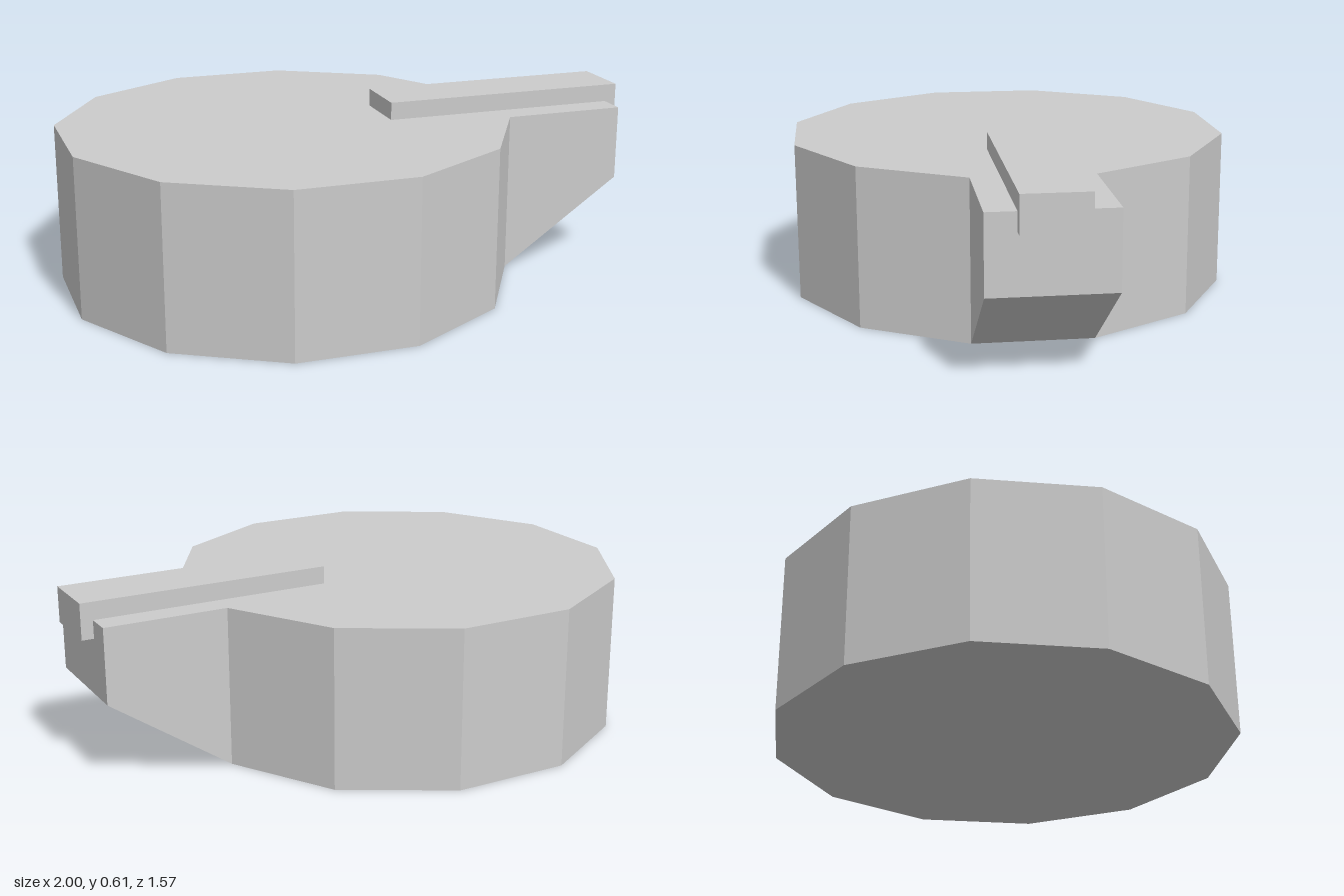
import * as THREE from 'three';

const material = new THREE.MeshStandardMaterial({ color: 0xcccccc, flatShading: true });

// Extrudes a side profile (outward distance, height) between two sideways offsets
function profilePart(name, points, from, to) {
  const shape = new THREE.Shape(points.map(([u, y]) => new THREE.Vector2(u, y)));
  const geometry = new THREE.ExtrudeGeometry(shape, { depth: to - from, bevelEnabled: false });
  geometry.translate(0, 0, from);
  const mesh = new THREE.Mesh(geometry, material);
  mesh.name = name;
  return mesh;
}

export function createModel() {
  const model = new THREE.Group();
  model.name = 'drumWithSpout';

  const radius = 0.785, height = 0.552;
  const apothem = radius * Math.cos(Math.PI / 12);
  const halfSide = radius * Math.sin(Math.PI / 12);

  // Twelve-sided drum
  const drum = new THREE.Mesh(new THREE.CylinderGeometry(radius, radius, height, 12), material);
  drum.name = 'drum';
  drum.position.set(-0.215, height / 2, 0);
  model.add(drum);

  // Arm assembly, pointing out through the middle of one drum side
  const arm = new THREE.Group();
  arm.name = 'arm';
  arm.position.x = -0.215;
  arm.rotation.y = -Math.PI / 12;
  model.add(arm);

  // Spout with a sloping underside
  const end = 1.183;
  arm.add(profilePart('spout', [
    [apothem, 0], [end, 0.293], [end, height], [apothem, height],
  ], -halfSide, halfSide));

  // Flat bar on top, with a lip hooked over the end of the spout
  arm.add(profilePart('hookedBar', [
    [0.353, height], [end, height], [end, 0.49],
    [1.224, 0.49], [1.224, 0.613], [0.353, 0.613],
  ], -0.112, 0.105));

  return model;
}
